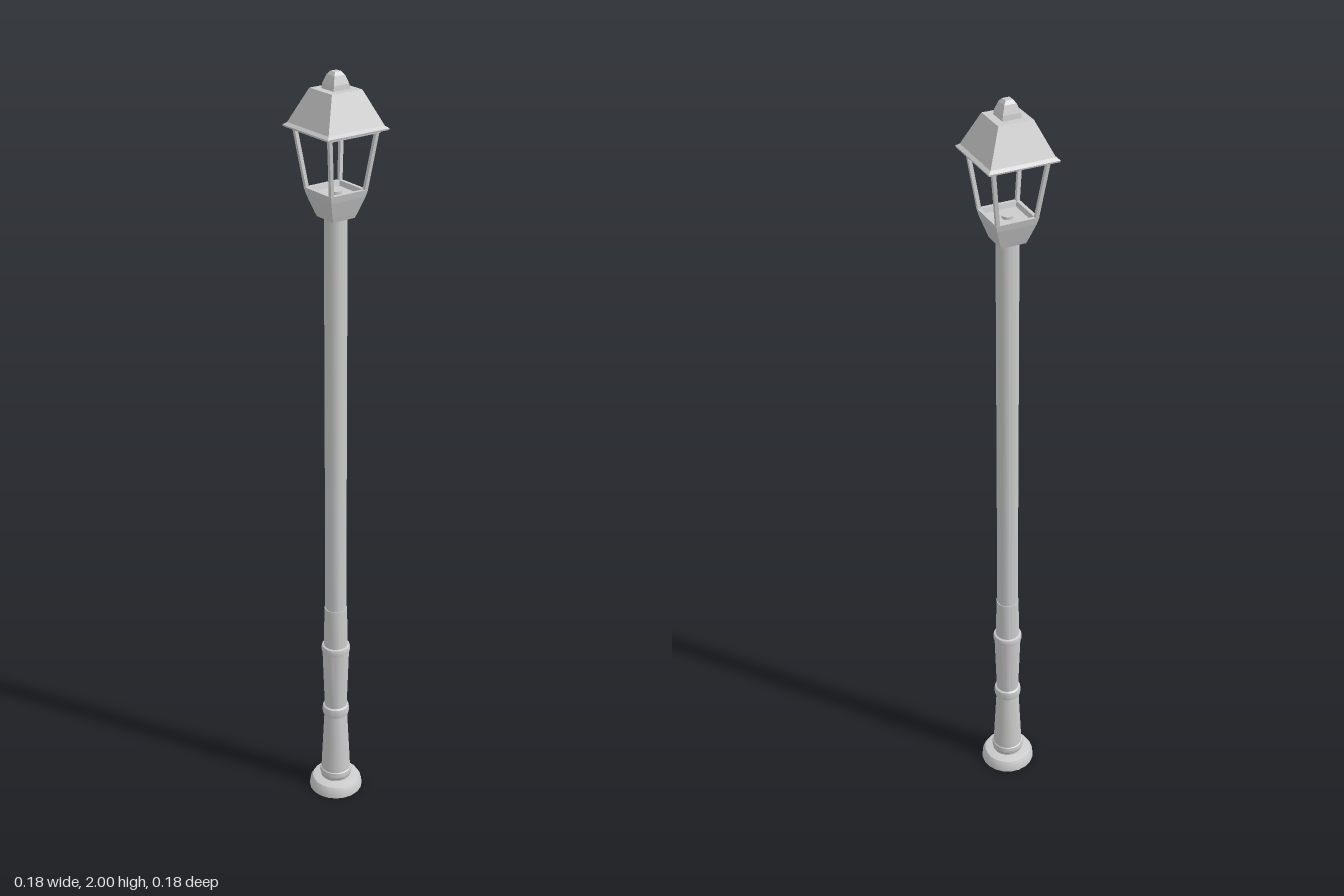
import * as THREE from 'three';
import { toCreasedNormals } from 'three/addons/utils/BufferGeometryUtils.js';

const smooth = new THREE.MeshStandardMaterial({ color: 0xcccccc });
const flat = new THREE.MeshStandardMaterial({ color: 0xcccccc, flatShading: true });

function add(group, name, geometry, material) {
  const mesh = new THREE.Mesh(geometry, material);
  mesh.name = name;
  group.add(mesh);
  return mesh;
}

// Round turned part from [radius, y] pairs
function turned(group, name, profile) {
  const points = profile.map(([r, y]) => new THREE.Vector2(r, y));
  add(group, name, toCreasedNormals(new THREE.LatheGeometry(points, 20), 0.6), smooth);
}

// Square part from [half width, y] pairs
function square(group, name, profile) {
  const points = profile.map(([h, y]) => new THREE.Vector2(h * Math.SQRT2, y));
  add(group, name, new THREE.LatheGeometry(points, 4, Math.PI / 4), flat);
}

export function createModel() {
  const model = new THREE.Group();
  model.name = 'streetLamp';

  // Post, from the ground up
  turned(model, 'foot', [[0, 0], [0.073, 0], [0.071, 0.018], [0.064, 0.03], [0.045, 0.035], [0, 0.035]]);
  turned(model, 'footRing', [[0.038, 0.035], [0.042, 0.04], [0.044, 0.05], [0.042, 0.06], [0.037, 0.064]]);
  turned(model, 'lowerSleeve', [[0.041, 0.035], [0.039, 0.08], [0.031, 0.245]]);
  turned(model, 'middleRing', [[0.03, 0.24], [0.035, 0.243], [0.037, 0.255], [0.035, 0.268], [0.03, 0.271]]);
  turned(model, 'upperSleeve', [[0.03, 0.265], [0.036, 0.45]]);
  turned(model, 'upperRing', [[0.034, 0.445], [0.038, 0.447], [0.039, 0.455], [0.037, 0.463], [0.028, 0.466]]);
  turned(model, 'collar', [[0.032, 0.46], [0.03, 0.58], [0.027, 0.58]]);
  turned(model, 'pole', [[0.028, 0.46], [0.028, 1.67]]);

  // Lantern
  const lantern = new THREE.Group();
  lantern.name = 'lantern';
  model.add(lantern);
  square(lantern, 'lanternCup', [[0, 1.657], [0.032, 1.657], [0.036, 1.668], [0.05, 1.71],
    [0.054, 1.727], [0.045, 1.727], [0.042, 1.715], [0, 1.715]]);
  turned(lantern, 'lampSocket', [[0.014, 1.714], [0.014, 1.722], [0, 1.722]]);

  // Corner bars lean outward from the cup to the roof
  const low = 1.722, high = 1.875;
  for (const sx of [-1, 1]) for (const sz of [-1, 1]) {
    const bar = new THREE.BoxGeometry(0.009, high - low, 0.009);
    bar.translate(0, (low + high) / 2, 0);
    const p = bar.attributes.position;
    for (let i = 0; i < p.count; i++) {
      const offset = THREE.MathUtils.mapLinear(p.getY(i), low, high, 0.0485, 0.0685);
      p.setX(i, p.getX(i) + sx * offset);
      p.setZ(i, p.getZ(i) + sz * offset);
    }
    add(lantern, 'cornerBar', bar, flat);
  }

  // Roof with a frame below and a recessed underside
  square(lantern, 'roofFrame', [[0.062, 1.875], [0.062, 1.862], [0.073, 1.862], [0.074, 1.875]]);
  square(lantern, 'roof', [[0, 1.876], [0.064, 1.876], [0.066, 1.869], [0.087, 1.869],
    [0.088, 1.873], [0.08, 1.879], [0.043, 1.96], [0, 1.96]]);
  square(lantern, 'finial', [[0.024, 1.958], [0.022, 1.972], [0.015, 1.992], [0.009, 2], [0, 2]]);

  return model;
}
